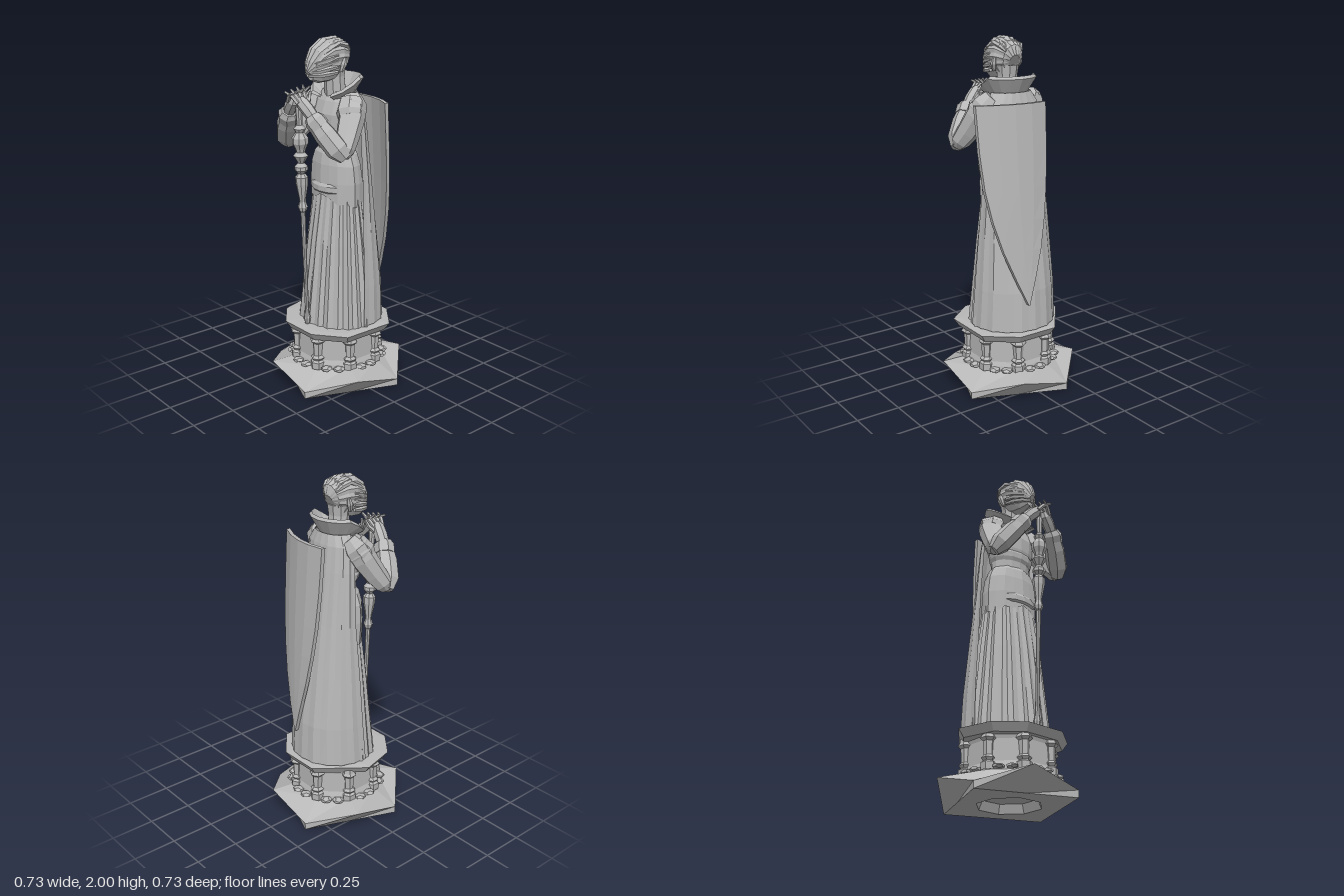
import * as THREE from 'three';

const stone = new THREE.MeshStandardMaterial({ color: 0xb8b8b8, side: THREE.DoubleSide });
stone.name = 'stone grey';

// Faceted surface through rows x cols points given by fn(row, col)
function loft(rows, cols, closed, fn) {
  const pos = [], idx = [], n = closed ? cols : cols - 1;
  for (let i = 0; i < rows; i++) for (let j = 0; j < cols; j++) pos.push(...fn(i, j));
  for (let i = 0; i < rows - 1; i++) for (let j = 0; j < n; j++) {
    const a = i * cols + j, b = i * cols + (j + 1) % cols;
    idx.push(a, b, b + cols, a, b + cols, a + cols);
  }
  const g = new THREE.BufferGeometry();
  g.setAttribute('position', new THREE.Float32BufferAttribute(pos, 3));
  g.setIndex(idx);
  return g;
}

// Upright form from sections [y, half width, front z, back z]; a = 0 faces front
function body(sections, cols, pleat = 0, arc = 0, dy = () => 0) {
  return loft(sections.length, cols, !arc, (i, j) => {
    const [y, rx, zf, zb] = sections[i];
    const a = arc ? Math.PI - arc + 2 * arc * j / (cols - 1) : j / cols * Math.PI * 2;
    const k = 1 + pleat * [1, -0.7, 0.4, -1][j % 4];
    return [rx * k * Math.sin(a), y + dy(i, a), (zf + zb) / 2 + (zf - zb) / 2 * k * Math.cos(a)];
  });
}

// Tapered limb along points [x, y, z, radius], closed at both ends
function limb(points, cols = 7, ridge = 0, flat = 1, ref = [0, 0, 1]) {
  const first = points[0], last = points[points.length - 1];
  const p = [[...first.slice(0, 3), 0], ...points, [...last.slice(0, 3), 0]];
  const n = points.length, v = q => new THREE.Vector3(q[0], q[1], q[2]);
  return loft(p.length, cols, true, (i, j) => {
    const c = Math.min(Math.max(i - 1, 0), n - 1);
    const t = v(points[Math.min(c + 1, n - 1)]).sub(v(points[Math.max(c - 1, 0)])).normalize();
    const u = new THREE.Vector3(...ref).addScaledVector(t, -t.dot(new THREE.Vector3(...ref))).normalize();
    const w = t.clone().cross(u);
    const a = j / cols * Math.PI * 2, r = p[i][3] * (1 + (j % 2 ? -ridge : ridge));
    return v(p[i]).addScaledVector(u, r * Math.cos(a)).addScaledVector(w, r * flat * Math.sin(a)).toArray();
  });
}

const lathe = (pts, sides) => new THREE.LatheGeometry(pts.map(q => new THREE.Vector2(q[0], q[1])), sides);

export function createModel() {
  const model = new THREE.Group();
  const add = (name, geometry) => {
    const g = geometry.index ? geometry.toNonIndexed() : geometry;
    g.computeVertexNormals();
    const mesh = new THREE.Mesh(g, stone);
    mesh.name = name;
    model.add(mesh);
    return mesh;
  };

  // Plinth: square foot twisted into a second square above, hollowed below.
  // Each row is [y, radius] for the upper corners, then for the lower corners
  const plinth = [[0.05, 0, 0.05, 0], [0.05, 0.16, 0.05, 0.16], [0, 0.18, 0, 0.18], [0, 0.279, 0, 0.395],
    [0.12, 0.395, 0.04, 0.395], [0.145, 0.25, 0.135, 0.25], [0.145, 0, 0.145, 0]];
  add('plinth', loft(plinth.length, 8, true, (i, j) => {
    const y = plinth[i][j % 2 * 2], r = plinth[i][j % 2 * 2 + 1], a = (j - 0.5) * Math.PI / 4;
    return [r * Math.sin(a), y, r * Math.cos(a)];
  }));

  // Eight-sided drum with a column at each corner and flat stones between
  add('drum', lathe([[0.265, 0.13], [0.26, 0.155], [0.25, 0.18], [0.247, 0.3], [0.258, 0.34]], 8)).rotation.y = Math.PI / 8;
  for (let i = 0; i < 8; i++) {
    const a = (i + 0.5) / 8 * Math.PI * 2, x = Math.sin(a), z = Math.cos(a);
    add('column', lathe([[0.04, 0.13], [0.042, 0.17], [0.028, 0.18], [0.04, 0.195], [0.026, 0.21],
      [0.03, 0.285], [0.045, 0.3], [0.036, 0.315], [0.032, 0.34]], 6)).position.set(x * 0.24, 0, z * 0.24);
    for (const step of [0.25, 0.52]) {
      const pebble = add('pebble', new THREE.DodecahedronGeometry(0.034));
      pebble.scale.y = 0.4;
      pebble.rotation.y = i * 1.7 + step;
      pebble.position.set(Math.sin(a + step) * 0.262, 0.142, Math.cos(a + step) * 0.262);
    }
  }

  // Uneven flared ledge
  const rim = [[-0.12, 0.29], [0.12, 0.29], [0.285, 0.16], [0.29, -0.15], [0.12, -0.285], [-0.12, -0.285], [-0.325, -0.03], [-0.27, 0.17]];
  const ledge = [[0.315, 0], [0.32, 0.9], [0.365, 1], [0.37, 0.86], [0.372, 0]];
  add('ledge', loft(ledge.length, 8, true, (i, j) => [rim[j][0] * ledge[i][1], ledge[i][0], rim[j][1] * ledge[i][1]]));

  // Pleated robe, tunic skirt, belt and chest
  add('robe', body([[0.36, 0.245, 0.205, -0.23], [0.6, 0.222, 0.178, -0.2], [0.85, 0.198, 0.15, -0.165],
    [1.1, 0.17, 0.115, -0.12], [1.3, 0.15, 0.095, -0.09]], 48, 0.035));
  add('tunicSkirt', body([[1.13, 0.176, 0.12, -0.12], [1.2, 0.18, 0.12, -0.11], [1.3, 0.17, 0.115, -0.095], [1.36, 0.145, 0.105, -0.085],
    [1.385, 0.118, 0.09, -0.08]], 18, 0.025, 0, (i, a) => i ? 0 : -0.06 * Math.abs(Math.sin(a)) + 0.01 * Math.sin(a * 7)));
  add('belt', body([[1.14, 0.14, 0.125, -0.1], [1.15, 0.15, 0.135, -0.1], [1.18, 0.15, 0.135, -0.1], [1.195, 0.14, 0.125, -0.1]], 16));
  add('chest', body([[1.34, 0.125, 0.09, -0.08], [1.42, 0.125, 0.095, -0.085], [1.5, 0.148, 0.11, -0.1], [1.58, 0.165, 0.11, -0.105],
    [1.65, 0.16, 0.085, -0.1], [1.7, 0.11, 0.055, -0.08], [1.72, 0, 0, -0.02]], 14));
  add('chestBand', body([[1.42, 0.128, 0.1, -0.085], [1.44, 0.138, 0.11, -0.09], [1.47, 0.146, 0.112, -0.09], [1.485, 0.142, 0.105, -0.09]], 14));

  // Cape open at the front
  add('cape', body([[0.375, 0.25, 0.2, -0.262], [0.6, 0.238, 0.17, -0.25], [0.9, 0.216, 0.13, -0.212], [1.2, 0.193, 0.08, -0.17],
    [1.5, 0.175, 0.06, -0.13], [1.64, 0.16, 0.06, -0.11], [1.7, 0.12, 0.06, -0.095]], 21, 0.018, 1.75));

  // Flared collar, high behind and dropping to folded points in front
  add('collar', body([[1.63, 0.15, 0.1, -0.1], [1.685, 0.105, 0.08, -0.08], [1.775, 0.165, 0.14, -0.13], [1.79, 0.15, 0.125, -0.118], [1.69, 0.092, 0.07, -0.07]],
    13, 0, 2.6, (i, a) => (i === 2 || i === 3 ? -0.105 : -0.03) * Math.max(0, (Math.cos(a) + 0.2) / 1.2)));

  // Neck and head with combed ridges running from back to front
  add('neck', limb([[0, 1.62, -0.01, 0.08], [0, 1.71, 0.015, 0.06], [0, 1.78, 0.02, 0.058], [0, 1.84, 0.02, 0.066]], 9));
  add('jaw', limb([[0, 1.83, 0.02, 0.062], [0, 1.8, 0.09, 0.05], [0, 1.79, 0.14, 0.04], [0, 1.79, 0.185, 0.022]], 8, 0, 1.15, [0, 1, 0]));
  add('head', limb([[0, 1.87, -0.05, 0.035], [0, 1.88, -0.035, 0.075], [0, 1.888, 0.02, 0.104], [0, 1.885, 0.075, 0.105],
    [0, 1.862, 0.13, 0.088], [0, 1.832, 0.172, 0.058], [0, 1.81, 0.205, 0.02]], 32, 0.035, 0.83, [0, 1, 0]));
  for (let k = -3; k <= 3; k++) {
    const x = k * 0.022, d = Math.abs(k) * 0.008;
    add('hairLock', limb([[x * 0.8, 1.92, -0.045, 0.006], [x, 1.97 - d, -0.012, 0.014], [x, 1.984 - d, 0.045, 0.014],
      [x * 0.9, 1.95 - d, 0.115, 0.013], [x * 0.7, 1.89, 0.17, 0.004]], 5, 0, 1, [1, 0, 0]));
  }

  // Shaft with turned knobs, leaning slightly forward
  const shaft = add('staff', lathe([[0, 0], [0.014, 0.005], [0.02, 0.04], [0.012, 0.08], [0.011, 0.3], [0.014, 0.68], [0.022, 0.69], [0.028, 0.71],
    [0.018, 0.74], [0.02, 0.76], [0.034, 0.84], [0.036, 0.88], [0.02, 0.9], [0.036, 0.92], [0.036, 0.94], [0.018, 0.96], [0.03, 0.98],
    [0.042, 1.0], [0.024, 1.02], [0.03, 1.04], [0.045, 1.07], [0.045, 1.1], [0.024, 1.13], [0.034, 1.15], [0.016, 1.17], [0.02, 1.26], [0, 1.3]], 8));
  shaft.position.set(0, 0.37, 0.222);
  shaft.rotation.x = 0.035;

  // Mirrored arms, hands, ears and face bands
  for (const s of [1, -1]) {
    const side = (name, pts, ...rest) => add(name, limb(pts.map(([x, y, z, r]) => [x * s, y, z, r]), ...rest));
    side('upperArm', [[0.12, 1.675, -0.01, 0.05], [0.15, 1.635, 0.01, 0.075], [0.175, 1.57, 0.045, 0.075], [0.205, 1.48, 0.1, 0.066],
      [0.23, 1.42, 0.14, 0.055], [0.24, 1.385, 0.155, 0.03]], 8, 0.04);
    side('shoulderCap', [[0.13, 1.66, 0.005, 0.068], [0.16, 1.6, 0.035, 0.084], [0.172, 1.575, 0.045, 0.074]], 8, 0.03);
    side('forearm', [[0.246, 1.385, 0.15, 0.038], [0.22, 1.43, 0.18, 0.062], [0.165, 1.51, 0.22, 0.06], [0.11, 1.58, 0.25, 0.048]], 7, 0.04);
    side('cuff', [[0.14, 1.545, 0.232, 0.058], [0.115, 1.58, 0.25, 0.058], [0.1, 1.6, 0.255, 0.044]], 7);
    side('hand', [[0.11, 1.59, 0.25, 0.034], [0.075, 1.63, 0.262, 0.037], [0.04, 1.665, 0.272, 0.036], [0.025, 1.69, 0.275, 0.02]], 7);
    for (let k = 0; k < 4; k++) {
      const z = 0.245 + k * 0.02;
      side('finger', [[0.045, 1.665, z, 0.012], [0.015, 1.7, z + (k - 1.3) * 0.008, 0.012],
        [-0.03, 1.745 - k * 0.008, z + (k - 1.5) * 0.02, 0.006]], 5);
    }
    side('thumb', [[0.05, 1.64, 0.25, 0.013], [0.025, 1.68, 0.215, 0.012], [0.015, 1.715, 0.2, 0.007]], 5, 0, 1, [1, 0, 0]);
    side('ear', [[0.075, 1.81, 0.035, 0.01], [0.084, 1.85, 0.025, 0.018], [0.086, 1.885, 0.015, 0.01]], 6);
    for (let k = 0; k < 4; k++) {
      side('faceBand', [[0.08, 1.9 - k * 0.03, 0.06, 0.01], [0.071, 1.885 - k * 0.027, 0.12, 0.014],
        [0.046, 1.863 - k * 0.022, 0.17, 0.013], [0.005, 1.85 - k * 0.018, 0.2, 0.008]], 5, 0, 1, [0, 1, 0]);
    }
  }

  // Long curved shield on the back, tapering to a point; rows are [y, half width, centre x]
  const outline = [[0.535, 0.004, 0.05], [0.68, 0.055, 0.062], [0.85, 0.11, 0.073], [1.02, 0.15, 0.082],
    [1.2, 0.178, 0.088], [1.4, 0.193, 0.09], [1.655, 0.2, 0.092]];
  const cols = 5, ring = cols * 2;
  const shieldPoint = ([y, w, cx], j) => {
    const back = j < cols, s = back ? 1 - 2 * j / (cols - 1) : -1 + 2 * (j - cols) / (cols - 1), k = w / 0.2;
    const z = -0.258 + (y - 0.54) / 1.12 * 0.08 + 0.04 * k * s + 0.04 * k * k * s * s;
    return [cx + w * s, y, z + (back ? -0.012 : 0.012)];
  };
  add('shield', loft(outline.length + 1, ring, true, (i, j) =>
    // the last row folds the front edge onto the back edge to close the top
    i < outline.length ? shieldPoint(outline[i], j) : shieldPoint(outline[i - 1], j < cols ? j : ring - 1 - j)));

  return model;
}
